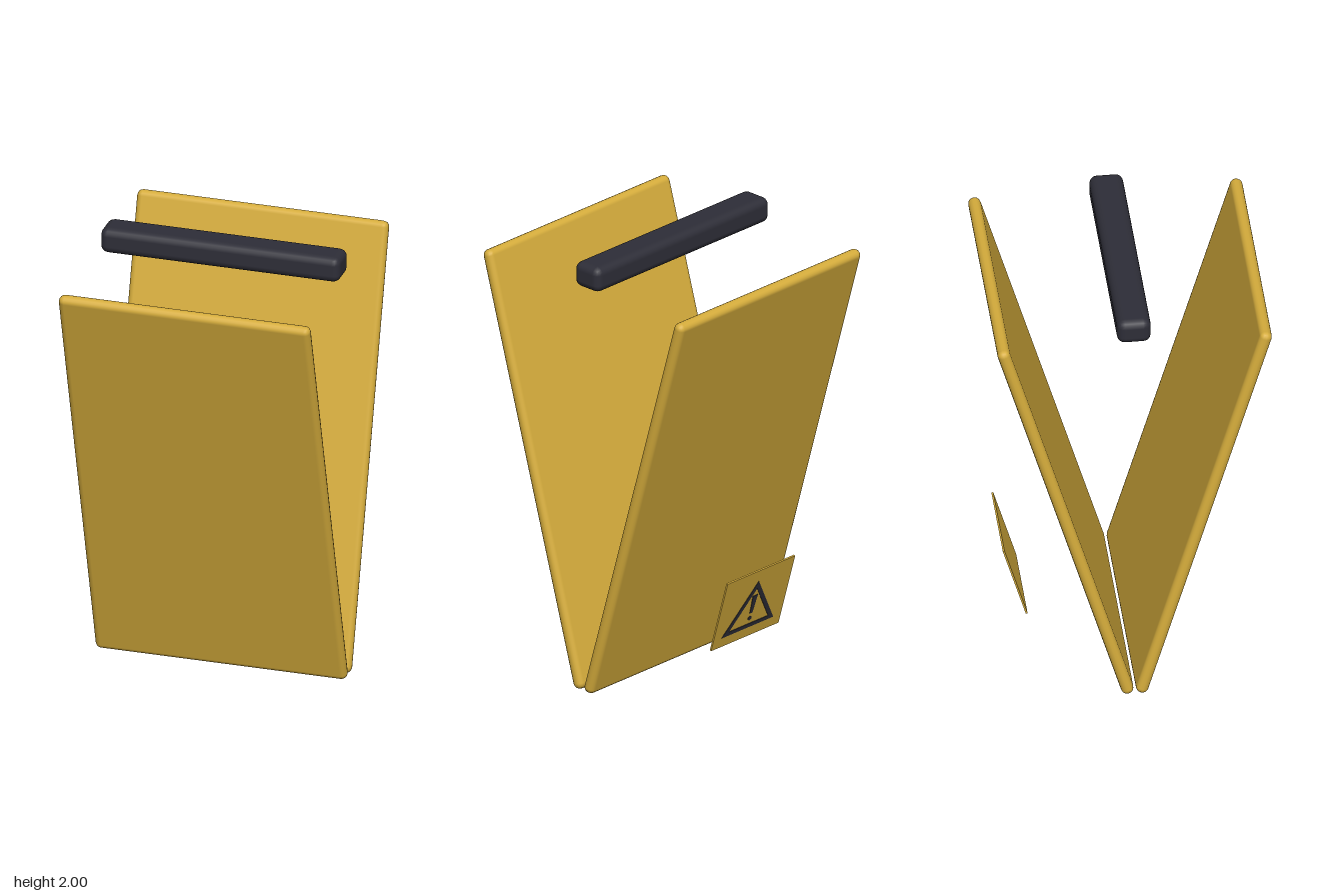
import * as THREE from 'three';
import { RoundedBoxGeometry } from 'three/addons/geometries/RoundedBoxGeometry.js';

const TILT = 0.281;

function polygon(points, Type = THREE.Shape) {
  return new Type(points.map(([x, y]) => new THREE.Vector2(x, y)));
}

export function createModel() {
  const yellow = new THREE.MeshStandardMaterial({ color: 0xd6ad3c });
  yellow.name = 'mustard yellow';
  const dark = new THREE.MeshStandardMaterial({ color: 0x2e2e38 });
  dark.name = 'charcoal';

  const model = new THREE.Group();
  model.name = 'foldingSign';

  const add = (parent, name, geometry, material, x = 0, y = 0, z = 0) => {
    const mesh = new THREE.Mesh(geometry, material);
    mesh.name = name;
    mesh.position.set(x, y, z);
    parent.add(mesh);
    return mesh;
  };

  // Two leaning panels, mirrored front to back
  const panelGeometry = new RoundedBoxGeometry(1.134, 1.98, 0.055, 2, 0.0272);
  for (const [name, side] of [['frontPanel', 1], ['backPanel', -1]]) {
    add(model, name, panelGeometry, yellow, 0, 0.953, side * 0.3).rotation.x = side * TILT;
  }

  // Bar handle across the top
  add(model, 'handle', new RoundedBoxGeometry(1.08, 0.115, 0.147, 2, 0.034), dark, 0, 1.9425, 0);

  // Tilted warning plate behind the back panel
  const plate = new THREE.Group();
  plate.name = 'warningPlate';
  plate.position.set(0, 0.386, -0.479);
  plate.rotation.x = -TILT;
  model.add(plate);
  add(plate, 'plateBase', new THREE.BoxGeometry(0.42, 0.36, 0.008), yellow);

  // Warning mark on the outer face: triangle outline, bar and dot
  const triangle = polygon([[-0.16, -0.128], [0.16, -0.128], [0, 0.12]]);
  triangle.holes.push(polygon([[-0.122, -0.108], [0, 0.082], [0.122, -0.108]], THREE.Path));
  const bar = polygon([[-0.008, -0.05], [0.008, -0.05], [0.015, 0.045], [-0.015, 0.045]]);
  const dot = new THREE.Shape().absarc(0, -0.078, 0.011, 0, Math.PI * 2);
  for (const [name, shape] of [['markTriangle', triangle], ['markBar', bar], ['markDot', dot]]) {
    const geometry = new THREE.ExtrudeGeometry(shape, { depth: 0.003, bevelEnabled: false });
    add(plate, name, geometry, dark, 0, 0, -0.0065);
  }

  return model;
}
